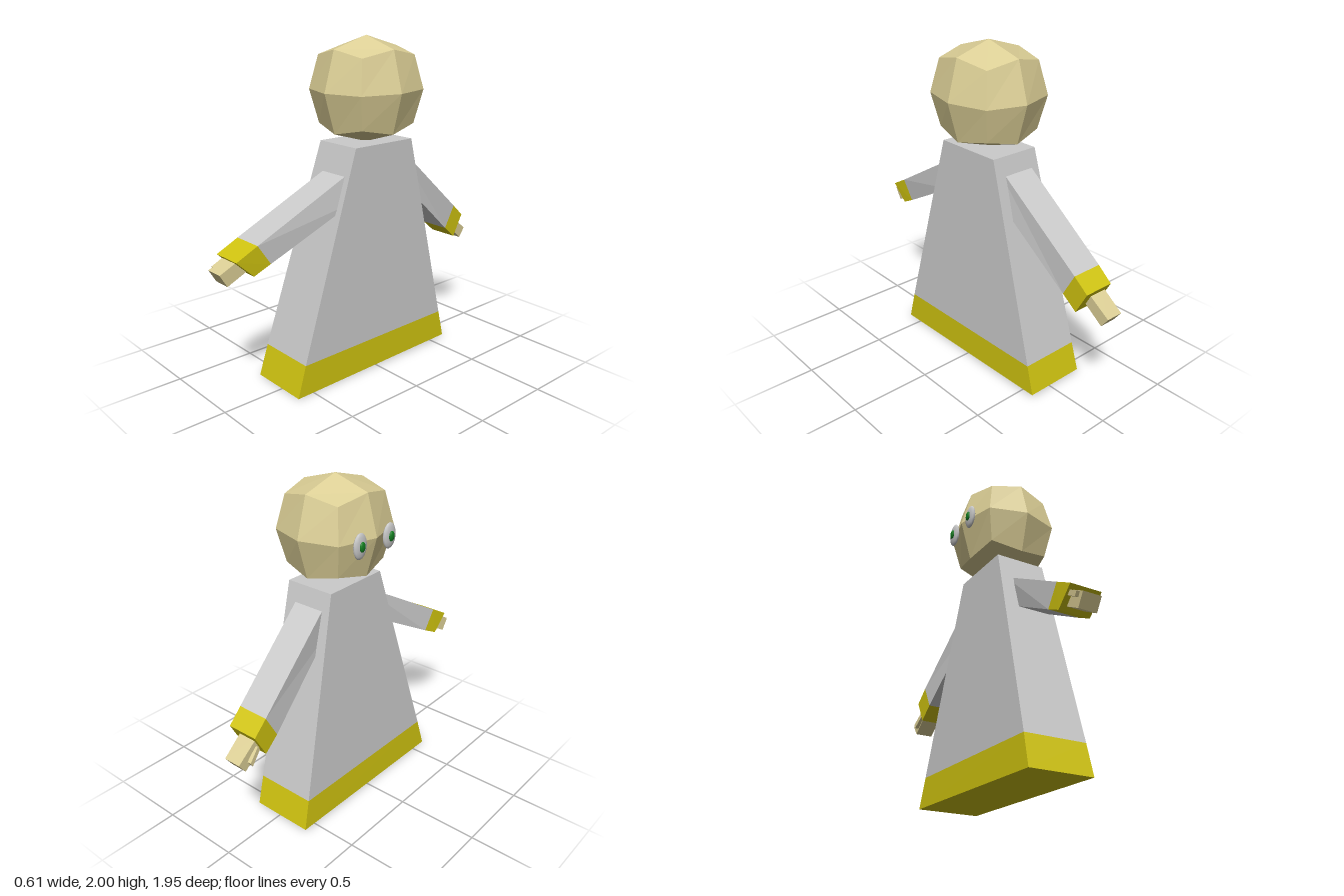
import * as THREE from 'three';

const mat = (color, flatShading = true) => new THREE.MeshStandardMaterial({ color, flatShading });
const cloth = mat(0xcccccc), trim = mat(0xd0c410), skin = mat(0xdccf96);
const eyeGrey = mat(0xcccccc, false), eyeGreen = mat(0x128020, false);

// Closed block between two four-cornered rings, counter-clockwise as seen from the far end
function block(name, r0, r1, material) {
  const pos = [];
  const quad = (a, b, c, d) => [a, b, c, a, c, d].forEach(p => pos.push(...p));
  for (let i = 0; i < 4; i++) {
    const j = (i + 1) % 4;
    quad(r0[i], r0[j], r1[j], r1[i]);
  }
  quad(...r1);
  quad(r0[3], r0[2], r0[1], r0[0]);
  const geo = new THREE.BufferGeometry();
  geo.setAttribute('position', new THREE.Float32BufferAttribute(pos, 3));
  geo.computeVertexNormals();
  const mesh = new THREE.Mesh(geo, material);
  mesh.name = name;
  return mesh;
}

// Ring across an arm: x from xa to xb, lower edge (yb, zb), upper edge (yt, zt)
function armRing(xa, xb, yb, zb, yt, zt) {
  const ring = [[xa, yb, zb], [xb, yb, zb], [xb, yt, zt], [xa, yt, zt]];
  return zt < 0 ? ring.reverse() : ring;
}

// Level ring across the robe
function robeRing(xa, xb, zFront, zBack, yFront, yBack) {
  return [[xa, yFront, zFront], [xb, yFront, zFront], [xb, yBack, zBack], [xa, yBack, zBack]];
}

function makeArm(name, { sleeve, hand, thumb }) {
  const arm = new THREE.Group();
  arm.name = name;
  const [root, cuff, end] = sleeve.map(s => armRing(...s));
  arm.add(block('sleeve', root, cuff, cloth), block('cuff', cuff, end, trim));
  arm.add(block('hand', ...hand.map(s => armRing(...s)), skin));
  arm.add(block('thumb', ...thumb.map(s => armRing(...s)), skin));
  return arm;
}

// Faceted head: a 2x2x2 cube with edge middles and corners pulled in
function makeHead() {
  const geo = new THREE.BoxGeometry(2, 2, 2, 2, 2, 2);
  const p = geo.attributes.position;
  const radius = [0, 0.31, 0.24, 0.2];
  for (let i = 0; i < p.count; i++) {
    const v = new THREE.Vector3().fromBufferAttribute(p, i).round();
    const r = radius[Math.abs(v.x) + Math.abs(v.y) + Math.abs(v.z)];
    p.setXYZ(i, v.x * r * 0.945, v.y * r * 0.985, v.z * r);
  }
  geo.computeVertexNormals();
  const head = new THREE.Mesh(geo, skin);
  head.name = 'head';
  head.position.set(0.012, 1.695, -0.037);
  return head;
}

function makeEye(name, x, z) {
  const eye = new THREE.Group();
  eye.name = name;
  const ball = (part, r, px, material) => {
    const m = new THREE.Mesh(new THREE.SphereGeometry(1, 12, 8), material);
    m.name = part;
    m.scale.set(...r);
    m.position.x = px;
    eye.add(m);
  };
  ball('eyeball', [0.017, 0.075, 0.055], 0, eyeGrey);
  ball('pupil', [0.01, 0.03, 0.022], -0.017, eyeGreen);
  eye.position.set(x, 1.678, z);
  return eye;
}

export function createModel() {
  const model = new THREE.Group();
  model.name = 'robedFigure';

  // Robe with coloured hem
  const base = robeRing(-0.225, 0.16, 0.61, -0.595, 0, 0.02);
  const hem = robeRing(-0.214, 0.161, 0.555, -0.55, 0.19, 0.2);
  const neck = robeRing(-0.143, 0.17, 0.18, -0.255, 1.4, 1.4);
  model.add(block('hem', base, hem, trim), block('robe', hem, neck, cloth));

  // Head and eyes on the -x side
  model.add(makeHead(), makeEye('eyeA', -0.279, 0.075), makeEye('eyeB', -0.264, -0.16));

  // Arms stretched along +z and -z
  model.add(makeArm('frontArm', {
    sleeve: [
      [-0.05, 0.145, 1.085, 0.175, 1.3, 0.12],
      [-0.145, 0.05, 0.812, 0.693, 0.934, 0.775],
      [-0.155, 0.038, 0.762, 0.797, 0.865, 0.905],
    ],
    hand: [
      [-0.11, 0.0, 0.815, 0.755, 0.89, 0.8],
      [-0.133, -0.02, 0.72, 0.93, 0.795, 0.975],
    ],
    thumb: [
      [-0.14, -0.115, 0.825, 0.85, 0.85, 0.865],
      [-0.15, -0.128, 0.78, 0.93, 0.805, 0.945],
    ],
  }));
  model.add(makeArm('backArm', {
    sleeve: [
      [-0.09, 0.11, 1.13, -0.24, 1.38, -0.18],
      [-0.137, 0.058, 0.72, -0.705, 0.86, -0.783],
      [-0.14, 0.052, 0.643, -0.797, 0.78, -0.872],
    ],
    hand: [
      [-0.115, 0.0, 0.715, -0.78, 0.77, -0.82],
      [-0.117, -0.01, 0.59, -0.93, 0.65, -0.975],
    ],
    thumb: [
      [-0.13, -0.105, 0.685, -0.83, 0.71, -0.845],
      [-0.143, -0.12, 0.62, -0.9, 0.645, -0.915],
    ],
  }));
  return model;
}
